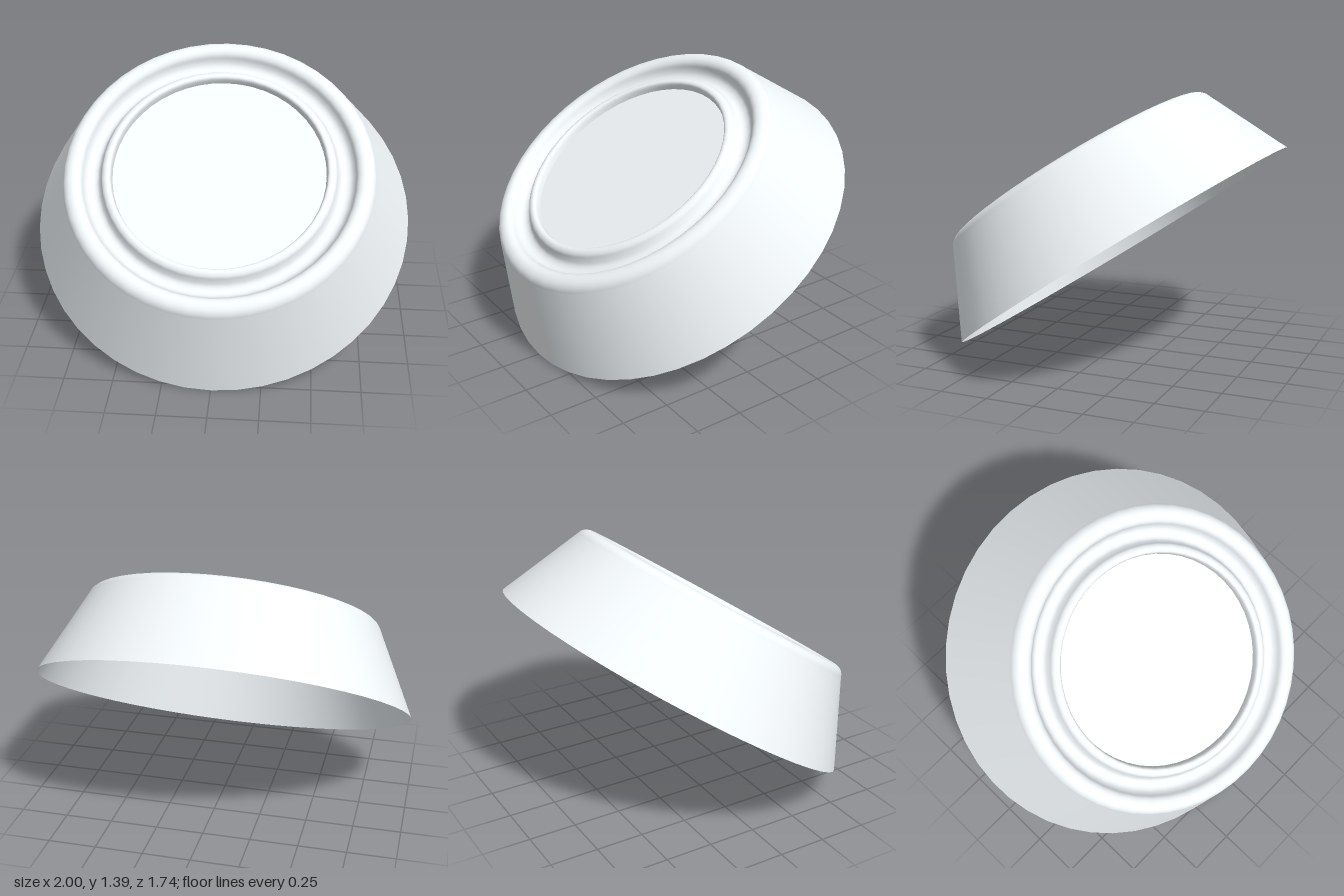
import * as THREE from 'three';

const SEGMENTS = 48;

export function createModel() {
  const model = new THREE.Group();
  const material = new THREE.MeshStandardMaterial({ color: 0xf2f7fa, side: THREE.DoubleSide });

  // Upside-down dish, built upright around its own axis and then tilted forward
  const dish = new THREE.Group();
  dish.name = 'tiltedDish';
  dish.rotation.x = THREE.MathUtils.degToRad(33.9);
  dish.position.set(0, 0.56, -0.04);
  model.add(dish);

  const addPart = (name, geometry) => {
    const mesh = new THREE.Mesh(geometry, material);
    mesh.name = name;
    dish.add(mesh);
    return mesh;
  };

  // Thin shell: straight flared wall, rounded shoulder, groove and raised inner ring
  const wall = [[1, 0], [0.9, 0.217]];
  const crown = [
    [0.797, 0.44], [0.787, 0.462], [0.769, 0.48], [0.744, 0.489], [0.72, 0.487],
    [0.7, 0.473], [0.687, 0.447], [0.669, 0.427], [0.643, 0.42], [0.618, 0.428],
    [0.602, 0.452], [0.592, 0.473], [0.574, 0.485], [0.556, 0.484], [0.547, 0.47],
    [0.543, 0.438],
  ];
  const toVectors = (points) => points.map(([r, h]) => new THREE.Vector2(r, h));
  const crownCurve = new THREE.SplineCurve(toVectors(crown));
  const profile = [...toVectors(wall), ...crownCurve.getPoints(45)];
  addPart('dishShell', new THREE.LatheGeometry(profile, SEGMENTS));

  // Flat recessed base inside the ring
  const base = addPart('recessedBase', new THREE.CircleGeometry(0.545, SEGMENTS));
  base.rotation.set(-Math.PI / 2, 0, Math.PI / 2);
  base.position.y = 0.442;

  return model;
}
